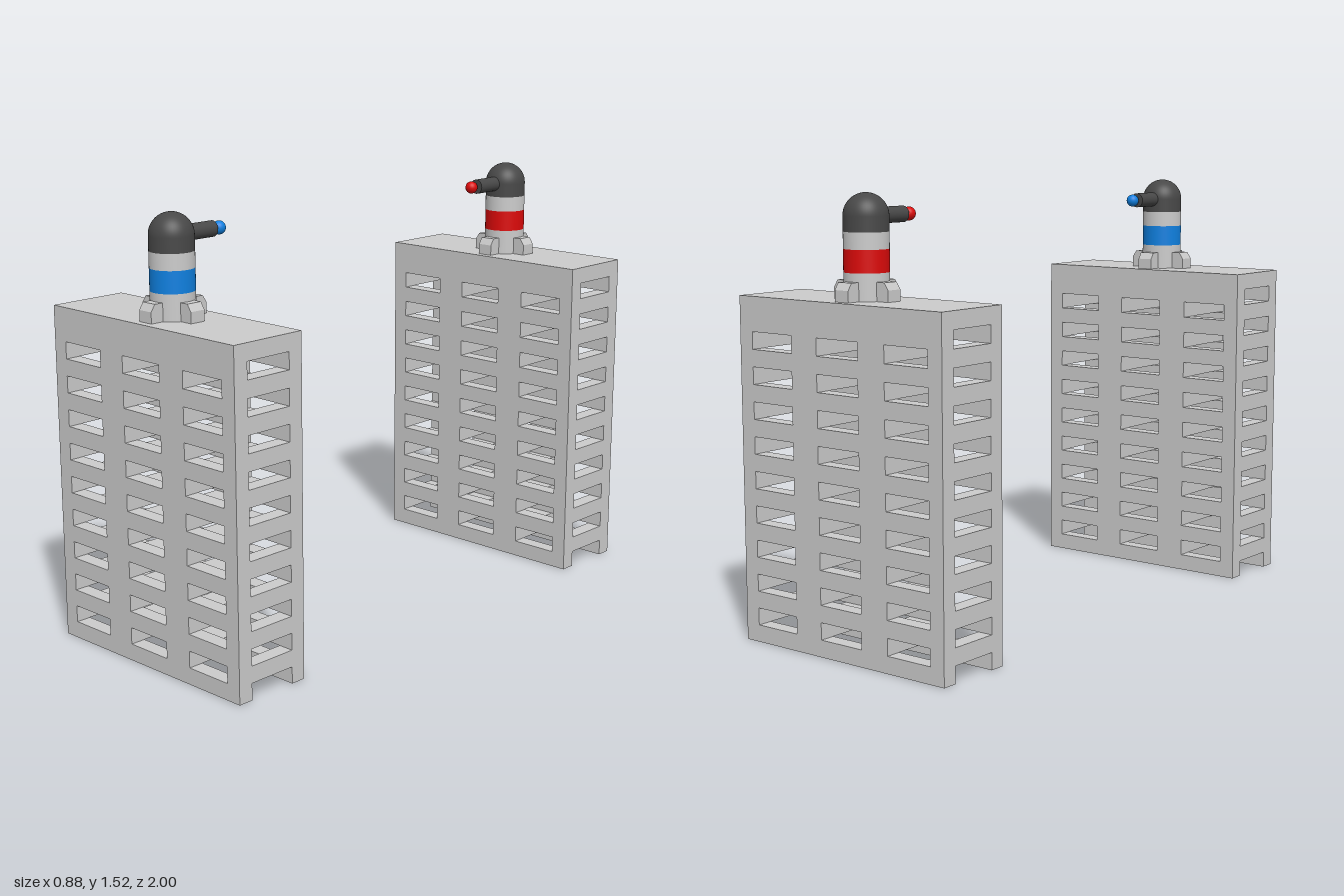
import * as THREE from 'three';

const W = 0.88, H = 1.175, D = 0.29, T = 0.055; // tower size and wall thickness
const LAYER = H / 20;
const SLOT = 0.18, SLOT_X = [-0.293, 0, 0.293];

const paint = (color) => new THREE.MeshStandardMaterial({ color });
const grey = paint(0xcccccc), dark = paint(0x484848);

function add(parent, name, geometry, material, x = 0, y = 0, z = 0) {
  const mesh = new THREE.Mesh(geometry, material);
  mesh.name = name;
  mesh.position.set(x, y, z);
  parent.add(mesh);
  return mesh;
}

function rectangle(PathType, x0, y0, x1, y1) {
  const p = new PathType();
  p.moveTo(x0, y0);
  p.lineTo(x1, y0);
  p.lineTo(x1, y1);
  p.lineTo(x0, y1);
  p.closePath();
  return p;
}

// Lattice tower: two slotted walls, joined by cross bars on every second layer
function createTower() {
  const tower = new THREE.Group();
  tower.name = 'tower';

  const wall = rectangle(THREE.Shape, -W / 2, 0, W / 2, H);
  for (let row = 1; row < 19; row += 2) {
    for (const x of SLOT_X) {
      wall.holes.push(rectangle(THREE.Path, x - SLOT / 2, row * LAYER, x + SLOT / 2, (row + 1) * LAYER));
    }
  }
  const wallGeo = new THREE.ExtrudeGeometry(wall, { depth: T, bevelEnabled: false });
  add(tower, 'outerWall', wallGeo, grey, 0, 0, D / 2 - T);
  add(tower, 'innerWall', wallGeo, grey, 0, 0, -D / 2);

  const edges = [-W / 2];
  for (const x of SLOT_X) edges.push(x - SLOT / 2, x + SLOT / 2);
  edges.push(W / 2);
  for (let i = 0; i < edges.length; i += 2) {
    const width = edges[i + 1] - edges[i];
    const bar = new THREE.BoxGeometry(width, LAYER, D - 2 * T);
    for (let row = 1; row < 19; row += 2) {
      add(tower, 'crossBar', bar, grey, edges[i] + width / 2, (row + 0.5) * LAYER, 0);
    }
  }
  add(tower, 'roof', new THREE.BoxGeometry(W, LAYER, D - 2 * T), grey, 0, H - LAYER / 2, 0);
  return tower;
}

// Domed turret with four feet, a coloured band, a barrel and a ball in front of it
function createTurret(color) {
  const turret = new THREE.Group();
  turret.name = 'turret';
  turret.position.y = H;
  const R = 0.075, accent = paint(color);

  const ring = (name, y0, y1, material) => add(turret, name,
    new THREE.CylinderGeometry(R, R, y1 - y0, 48, 1, true), material, 0, (y0 + y1) / 2, 0);
  ring('base', 0, 0.09, grey);
  ring('colourBand', 0.09, 0.165, accent);
  ring('collar', 0.165, 0.22, grey);
  ring('domeSide', 0.22, 0.27, dark);
  add(turret, 'dome', new THREE.SphereGeometry(R, 48, 16, 0, Math.PI * 2, 0, Math.PI / 2), dark, 0, 0.27, 0);

  // Feet with a chamfered outer top edge
  const profile = new THREE.Shape();
  profile.moveTo(0.06, 0);
  profile.lineTo(0.118, 0);
  profile.lineTo(0.118, 0.038);
  profile.lineTo(0.102, 0.062);
  profile.lineTo(0.06, 0.062);
  profile.closePath();
  const foot = new THREE.ExtrudeGeometry(profile, { depth: 0.058, bevelEnabled: false });
  foot.translate(0, 0, -0.029);
  for (let i = 0; i < 4; i++) add(turret, 'foot', foot, grey).rotation.y = i * Math.PI / 2;

  const barrel = new THREE.CylinderGeometry(0.027, 0.027, 0.125, 32);
  barrel.rotateX(Math.PI / 2);
  add(turret, 'barrel', barrel, dark, 0, 0.269, -0.115);
  add(turret, 'ball', new THREE.SphereGeometry(0.023, 24, 16), accent, 0, 0.269, -0.206);
  return turret;
}

export function createModel() {
  const model = new THREE.Group();
  model.name = 'facingTowers';
  // Two towers whose turrets aim at each other
  [[1, 0x0f80e0, 'blueSide'], [-1, 0xdc0a0a, 'redSide']].forEach(([side, color, name]) => {
    const half = new THREE.Group();
    half.name = name;
    half.add(createTower(), createTurret(color));
    half.position.z = side * (1 - D / 2);
    if (side < 0) half.rotation.y = Math.PI;
    model.add(half);
  });
  return model;
}
